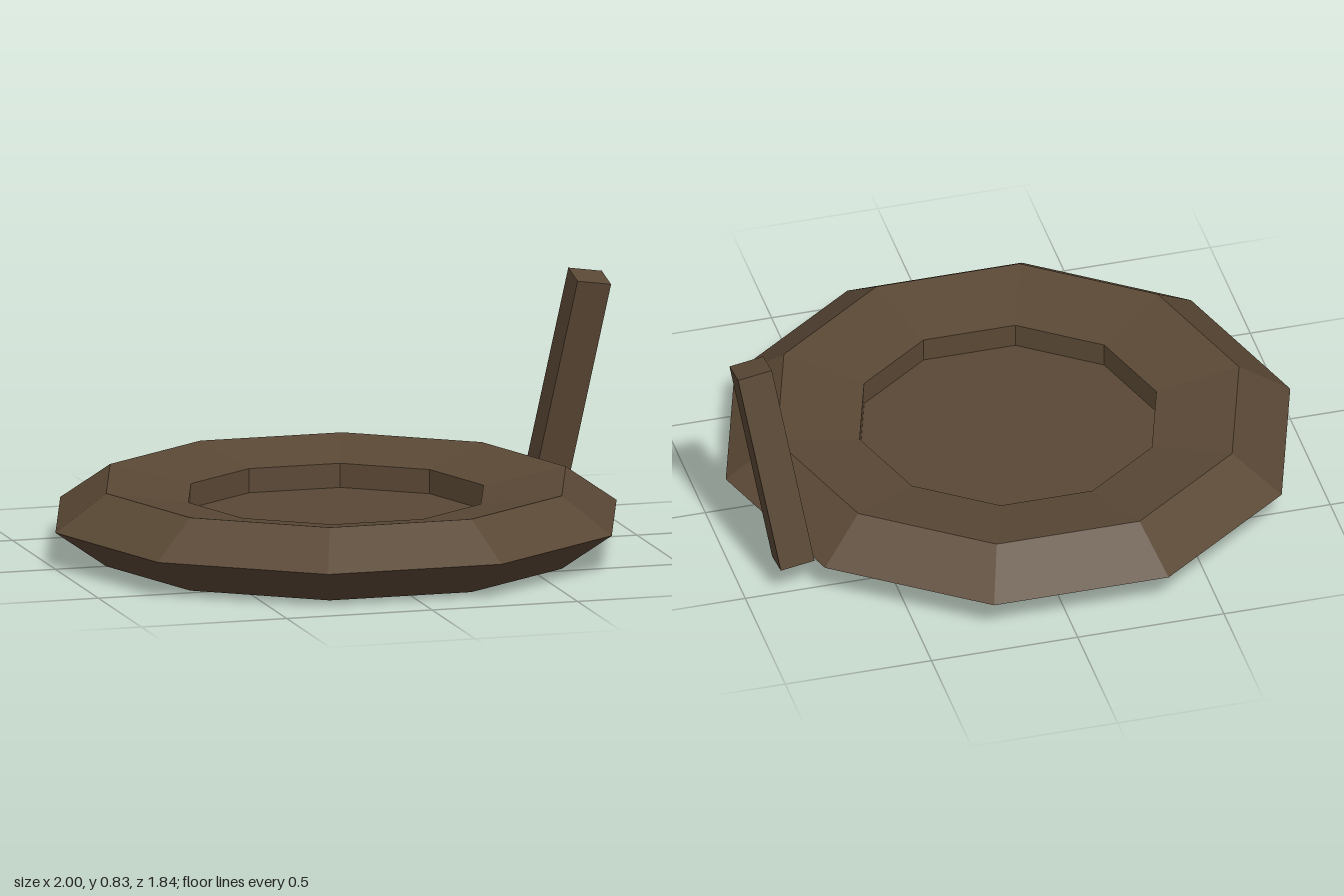
import * as THREE from 'three';

export function createModel() {
  const model = new THREE.Group();
  model.name = 'dishWithHandle';
  const brown = new THREE.MeshStandardMaterial({ color: 0x5a4835, flatShading: true });
  brown.name = 'dark brown';

  const add = (name, geometry, x, y, z) => {
    const mesh = new THREE.Mesh(geometry, brown);
    mesh.name = name;
    mesh.position.set(x, y, z);
    model.add(mesh);
    return mesh;
  };

  const sides = 10;
  const discX = -0.035;

  // Rim: a squashed five-sided ring, swept round ten sides
  const profile = [];
  for (let i = 0; i <= 5; i++) {
    const a = (i * Math.PI * 2) / 5;
    profile.push(new THREE.Vector2(0.712 + 0.253 * Math.cos(a), 0.1225 + 0.129 * Math.sin(a)));
  }
  add('rim', new THREE.LatheGeometry(profile, sides, Math.PI / 2), discX, 0, 0);

  // Floor: thin plate set into the rim, recessed above and below
  add('floor', new THREE.CylinderGeometry(0.515, 0.515, 0.04, sides, 1, false, Math.PI / 2), discX, 0.097, 0);

  // Handle: square bar leaning outwards and forwards
  const base = new THREE.Vector3(0.83, 0.115, -0.48);
  const tip = new THREE.Vector3(0.937, 0.81, -0.337);
  const axis = tip.clone().sub(base);
  const mid = base.clone().add(tip).multiplyScalar(0.5);
  const handle = add('handle', new THREE.BoxGeometry(0.117, axis.length(), 0.117), mid.x, mid.y, mid.z);
  handle.quaternion.setFromUnitVectors(new THREE.Vector3(0, 1, 0), axis.normalize());

  return model;
}
